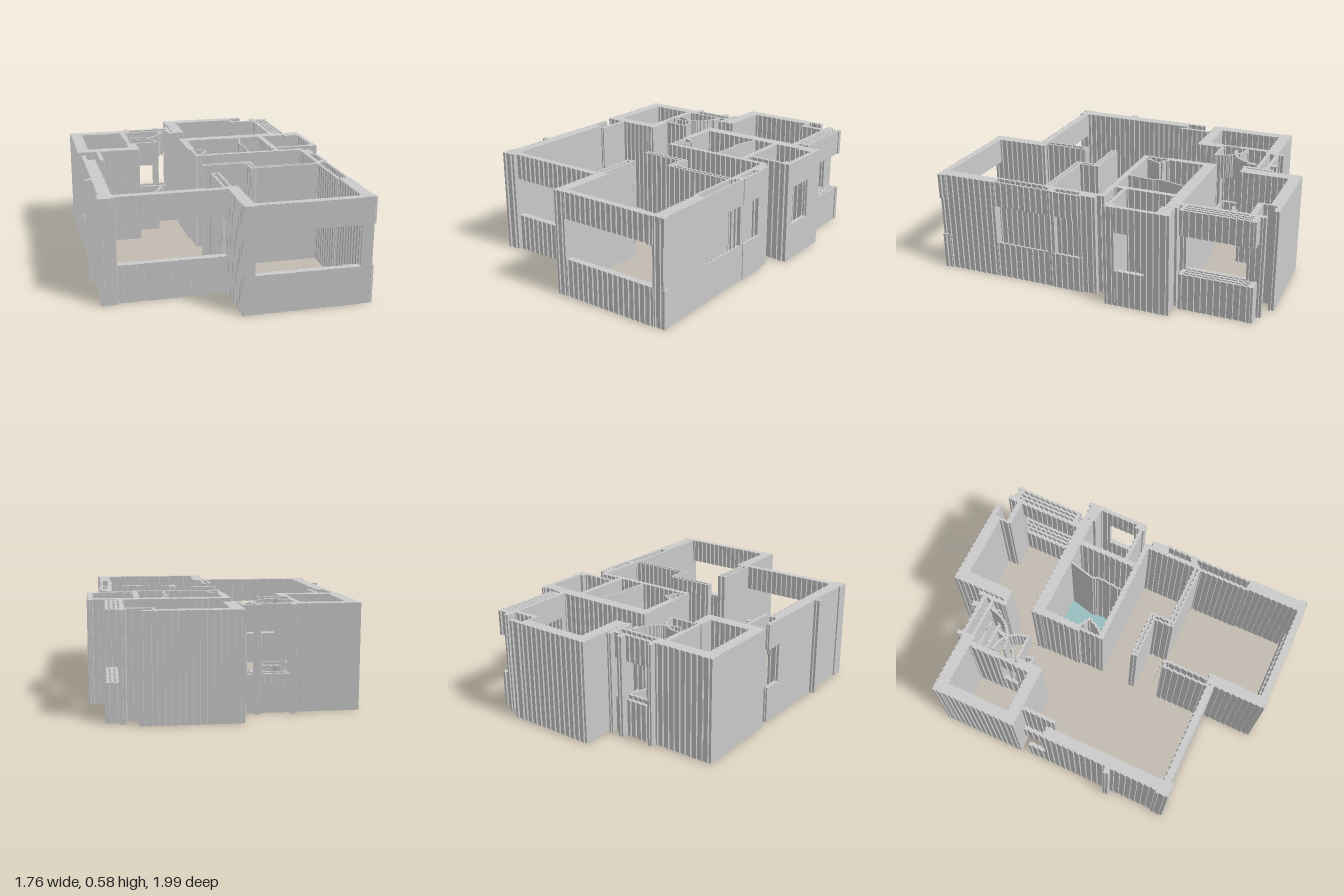
import * as THREE from 'three';

const H = 0.58, SILL = 0.21, HEAD = 0.435, STEP = 0.0085;
const C = 0.9695, S = 0.245;
const grey = new THREE.MeshStandardMaterial({ color: 0xcccccc, flatShading: true, side: THREE.DoubleSide });
const floorMat = new THREE.MeshStandardMaterial({ color: 0xc2bbb0, side: THREE.DoubleSide });
const tileMat = new THREE.MeshStandardMaterial({ color: 0x98bebf, side: THREE.DoubleSide });

// plan coordinates (u, v) turned to world (x, -z) for a shape
const turn = ([u, v]) => new THREE.Vector2(C * u + S * v, S * u - C * v);

// turns slanted edges into small axis-aligned steps
function stepped(pts) {
  const out = [];
  pts.forEach((a, i) => {
    const b = pts[(i + 1) % pts.length];
    const dx = b.x - a.x, dy = b.y - a.y, wide = Math.abs(dx) > Math.abs(dy);
    const n = Math.round(Math.min(Math.abs(dx), Math.abs(dy)) / STEP);
    out.push(a.clone());
    for (let k = 0; k < n; k++) {
      const m = (k + 0.5) / n, e = (k + 1) / n, s = k / n;
      out.push(new THREE.Vector2(a.x + dx * (wide ? m : s), a.y + dy * (wide ? s : m)));
      out.push(new THREE.Vector2(a.x + dx * (wide ? m : e), a.y + dy * (wide ? e : m)));
    }
  });
  return out;
}

export function createModel() {
  const model = new THREE.Group();
  model.name = 'apartment';

  function prism(name, plan, y0, y1, material = grey, hole) {
    const shape = new THREE.Shape(stepped(plan.map(turn)));
    if (hole) shape.holes.push(new THREE.Path(hole.map(turn)));
    const g = new THREE.ExtrudeGeometry(shape, { depth: y1 - y0, bevelEnabled: false });
    g.rotateX(-Math.PI / 2);
    g.translate(0, y0, 0);
    const mesh = new THREE.Mesh(g, material);
    mesh.name = name;
    model.add(mesh);
  }
  const rect = (u0, v0, u1, v1) => [[u0, v0], [u1, v0], [u1, v1], [u0, v1]];
  const wall = (name, ...r) => prism(name, rect(...r), 0, H);
  function openPlan(name, plan) {
    prism(name + 'Sill', plan, 0, SILL);
    prism(name + 'Lintel', plan, HEAD, H);
  }
  const opening = (name, ...r) => openPlan(name, rect(...r));
  // thin band around an arc
  function arc(cu, cv, r, a0, a1, t = 0.012) {
    const outer = [], inner = [];
    for (let i = 0; i <= 12; i++) {
      const a = a0 + (a1 - a0) * i / 12;
      outer.push([cu + r * Math.cos(a), cv + r * Math.sin(a)]);
      inner.unshift([cu + (r - t) * Math.cos(a), cv + (r - t) * Math.sin(a)]);
    }
    return outer.concat(inner);
  }

  // floors
  const F0 = 0.003, F1 = 0.012;
  const floor = (name, plan, hole) => prism(name, plan, F0, F1, floorMat, hole);
  floor('livingFloor', [[-0.645, -0.03], [-0.6, -0.03], [-0.6, -0.2], [-0.375, -0.2], [-0.375, -0.65],
    [-0.09, -0.65], [-0.075, -0.42], [-0.05, 0.02], [0.575, 0.02], [0.575, 0.335], [-0.03, 0.345],
    [-0.03, 0.67], [-0.645, 0.67]],
  [[-0.365, -0.35], [-0.365, -0.47], [-0.3, -0.46], [-0.25, -0.41], [-0.235, -0.365]]);
  floor('southBedroomFloor', [[-0.03, 0.345], [0.58, 0.345], [0.58, 0.97], [0.01, 0.97], [0.01, 0.66], [-0.03, 0.66]]);
  floor('northBedroomFloor', [[-0.01, -0.85], [0.37, -0.85], [0.37, -0.78], [0.525, -0.78], [0.525, -0.41],
    [-0.075, -0.41], [-0.09, -0.57], [-0.01, -0.57]]);
  floor('westBedroomFloor', rect(-0.665, -0.64, -0.41, -0.26));
  floor('eastRoomFloor', rect(0.455, -0.33, 0.695, -0.07));
  floor('nicheFloor', rect(0.578, 0.32, 0.63, 0.66));
  prism('tileFloor', [[-0.033, -0.347], [0.43, -0.347], [0.425, 0], [-0.03, 0], [-0.003, -0.028],
    [0.028, -0.091], [-0.033, -0.128]], F0, F1 + 0.002, tileMat);

  // south bedroom
  wall('southBedroomWestWall', -0.045, 0.66, 0.018, 1.01);
  wall('southBedroomCornerPier', 0.58, 0.965, 0.645, 1.0);
  opening('southBedroomWindow', 0.01, 0.967, 0.585, 1.006);
  wall('southBedroomEastWall', 0.58, 0.65, 0.645, 0.97);
  wall('nicheBackWall', 0.572, 0.32, 0.588, 0.66);
  opening('nicheFront', 0.628, 0.3, 0.64, 0.66);
  opening('southEastCornerTrim', 0.64, 0.96, 0.653, 1.003);

  // living room
  opening('livingWindow', -0.65, 0.67, -0.045, 0.71);
  wall('livingCornerPier', -0.722, 0.655, -0.637, 0.728);
  wall('livingWestWall', -0.712, -0.03, -0.645, 0.67);
  wall('westPier', -0.745, 0.355, -0.71, 0.385);
  opening('westShaftOuterWall', -0.712, -0.14, -0.69, -0.03);
  wall('westShaftInnerWall', -0.618, -0.2, -0.597, 0);
  // hollow dividing wall
  wall('dividerSheet', -0.063, 0.41, -0.05, 0.67);
  wall('dividerSheet', -0.027, 0.41, -0.014, 0.67);
  wall('dividerEnd', -0.063, 0.4, -0.014, 0.415);

  // kitchen
  for (const d of [0, 0.024]) {
    wall('kitchenPartition', -0.066, 0.212 + d, 0.205, 0.224 + d);
    wall('kitchenStep', 0.178 + d, 0.212, 0.19 + d, 0.36);
    wall('kitchenSouthWall', 0.18, 0.325 + d, 0.59, 0.337 + d);
  }
  wall('kitchenPartitionEnd', -0.068, 0.212, -0.056, 0.248);
  wall('kitchenNorthWall', -0.05, 0, 0.6, 0.03);
  wall('kitchenEastWall', 0.575, 0, 0.6, 0.35);
  wall('kitchenEastPier', 0.59, 0.04, 0.635, 0.14);
  opening('kitchenWindow', 0.63, 0.12, 0.645, 0.3);
  wall('kitchenEastPier', 0.59, 0.285, 0.64, 0.325);

  // tiled bathrooms
  wall('bathNorthWall', -0.075, -0.413, 0.6, -0.345);
  wall('bathNorthWallEnd', 0.6, -0.4, 0.7, -0.33);
  wall('bathWestWall', -0.072, -0.41, -0.033, -0.12);
  wall('bathWestWallSouth', -0.06, -0.13, -0.045, 0.03);
  prism('bathDuct', [[-0.04, -0.135], [0.033, -0.095], [0.028, -0.083], [-0.04, -0.12]], 0, H);
  prism('bathDuct', [[0.033, -0.095], [0.0, -0.02], [-0.04, 0.005], [-0.01, -0.03], [0.02, -0.09]], 0, H);
  wall('bathEastWall', 0.427, -0.35, 0.458, 0.01);
  prism('bathPartition', [[0.298, -0.345], [0.308, -0.345], [0.27, -0.19], [0.285, -0.15], [0.27, 0],
    [0.26, 0], [0.274, -0.15], [0.259, -0.19]], 0, H);

  // east room
  wall('eastRoomEastWall', 0.685, -0.41, 0.71, -0.27);
  opening('eastRoomWindow', 0.685, -0.27, 0.71, -0.1);
  wall('eastRoomCorner', 0.665, -0.1, 0.712, -0.043);
  wall('eastRoomSouthWall', 0.45, -0.07, 0.67, -0.05);

  // north bedroom
  wall('northBedroomNorthWall', -0.076, -0.915, 0.38, -0.85);
  wall('northBedroomNorthWallEnd', 0.37, -0.915, 0.455, -0.885);
  wall('northBedroomWestWall', -0.076, -0.91, -0.007, -0.57);
  wall('northShaftWestWall', 0.37, -0.89, 0.384, -0.78);
  wall('northShaftSouthWall', 0.37, -0.81, 0.53, -0.78);
  wall('northEastPier', 0.52, -0.87, 0.55, -0.78);
  opening('northBedroomEastWindow', 0.522, -0.8, 0.545, -0.43);
  for (let i = 0; i < 3; i++) {
    const u = 0.555 + i * 0.024;
    opening('balconyRail', u, -0.83 + i * 0.003, u + 0.014, -0.43);
  }
  opening('balconyEnd', 0.54, -0.84, 0.622, -0.815);
  opening('balconyEnd', 0.54, -0.45, 0.617, -0.43);
  wall('northBedroomSouthEastPier', 0.52, -0.45, 0.555, -0.36);

  // west bedroom
  wall('westBedroomNorthWall', -0.727, -0.703, -0.37, -0.635);
  wall('westBedroomWestWall', -0.725, -0.7, -0.66, -0.2);
  wall('westBedroomSouthWall', -0.725, -0.265, -0.36, -0.2);
  wall('westBedroomEastWall', -0.415, -0.65, -0.383, -0.46);
  opening('westBedroomDoorway', -0.41, -0.47, -0.39, -0.35);
  wall('westBedroomEastWallSouth', -0.415, -0.35, -0.36, -0.2);

  // entrance and door swings
  opening('entranceOuterRail', -0.37, -0.71, -0.09, -0.69);
  opening('entranceInnerRail', -0.37, -0.655, -0.1, -0.638);
  wall('entrancePier', -0.375, -0.74, -0.35, -0.63);
  wall('entrancePier', -0.185, -0.745, -0.155, -0.69);
  wall('entrancePier', -0.11, -0.74, -0.085, -0.57);
  wall('entranceReturn', -0.11, -0.585, -0.06, -0.565);
  opening('entranceDoorLeaf', -0.16, -0.64, -0.148, -0.57);
  openPlan('entranceDoorSwing', arc(-0.35, -0.64, 0.195, 0.1, Math.PI / 2));
  openPlan('bedroomDoorSwing', arc(-0.375, -0.36, 0.155, -Math.PI / 2, 0));
  opening('bedroomDoorLeaf', -0.38, -0.365, -0.215, -0.35);

  return model;
}
